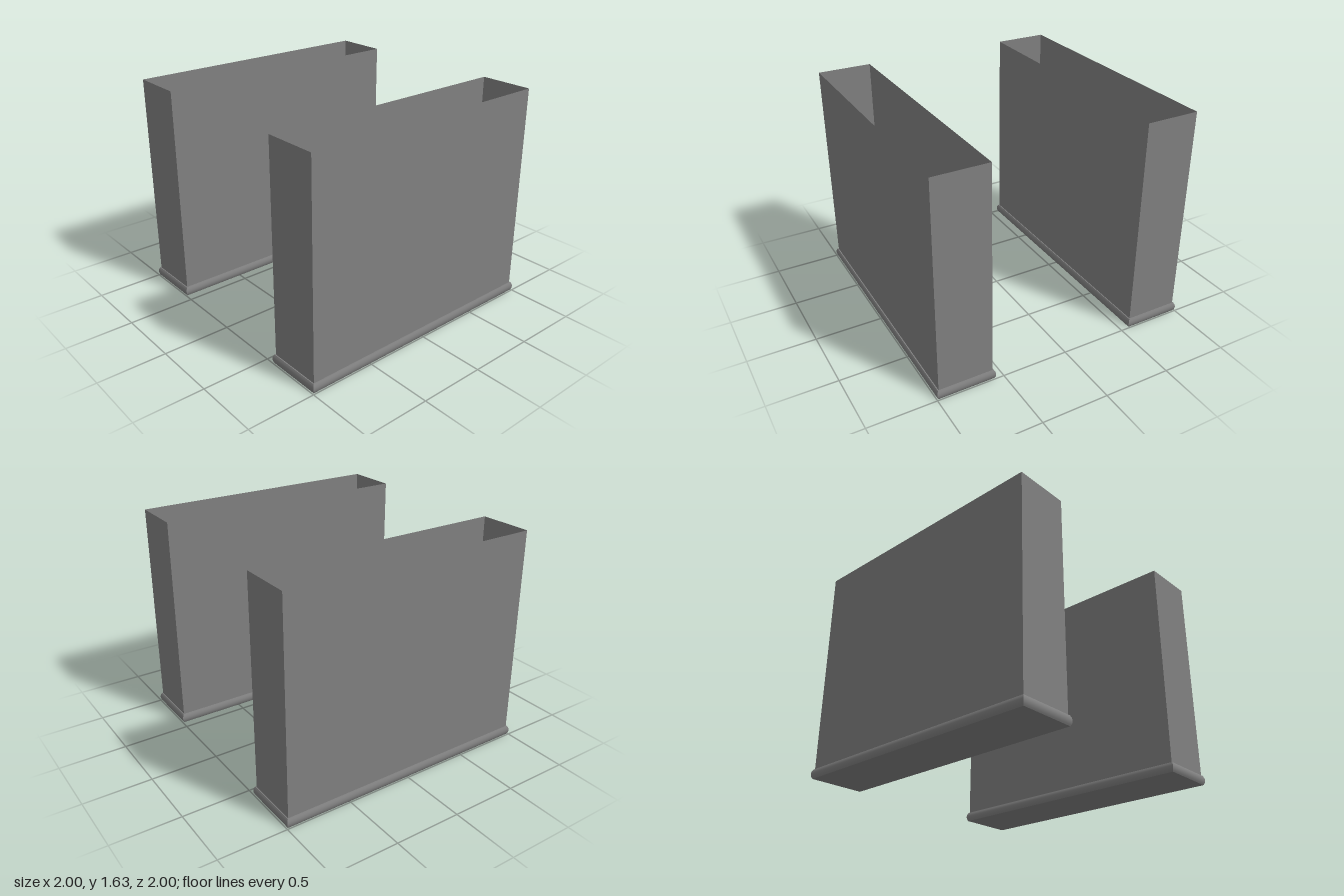
import * as THREE from 'three';
import { toCreasedNormals } from 'three/addons/utils/BufferGeometryUtils.js';

const HALF_W = 0.202, HALF_D = 0.982, HEIGHT = 1.635, TRIM_H = 0.07;

// Sweeps a profile of [outward offset, y] around a rectangle with mitred corners
function rectSweep(profile) {
  const corners = [[-1, 1], [1, 1], [1, -1], [-1, -1]];
  const point = (k, [o, y]) => {
    const [sx, sz] = corners[k % 4];
    return [sx * (HALF_W + o), y, sz * (HALF_D + o)];
  };
  const pos = [];
  for (let k = 0; k < 4; k++) {
    for (let i = 0; i < profile.length - 1; i++) {
      const a = point(k, profile[i]), b = point(k + 1, profile[i]);
      const c = point(k + 1, profile[i + 1]), d = point(k, profile[i + 1]);
      pos.push(...a, ...b, ...c, ...a, ...c, ...d);
    }
  }
  const g = new THREE.BufferGeometry();
  g.setAttribute('position', new THREE.Float32BufferAttribute(pos, 3));
  return toCreasedNormals(g, 0.6);
}

export function createModel() {
  const group = new THREE.Group();
  const material = new THREE.MeshStandardMaterial({ color: 0x808080, side: THREE.DoubleSide });

  // Shallow bulging moulding section, closed by a small ledge against the wall
  const edge = 0.007, bulge = 0.011, steps = 8;
  const trimProfile = [];
  for (let i = 0; i <= steps; i++) {
    const u = (2 * i) / steps - 1;
    trimProfile.push([edge + bulge * (1 - u * u), TRIM_H / 2 * (1 + u)]);
  }
  trimProfile.push([0, TRIM_H]);

  const wallGeo = rectSweep([[0, 0], [0, HEIGHT]]);
  const trimGeo = rectSweep(trimProfile);
  const floorGeo = new THREE.PlaneGeometry(2 * (HALF_W + edge), 2 * (HALF_D + edge)).rotateX(Math.PI / 2);

  // Two matching open-topped boxes
  for (const [side, s] of [['left', 1], ['right', -1]]) {
    const box = new THREE.Group();
    box.name = side + 'Box';
    for (const [name, geo] of [['walls', wallGeo], ['baseTrim', trimGeo], ['floor', floorGeo]]) {
      const mesh = new THREE.Mesh(geo, material);
      mesh.name = name;
      box.add(mesh);
    }
    box.position.x = s * 0.78;
    group.add(box);
  }
  return group;
}
